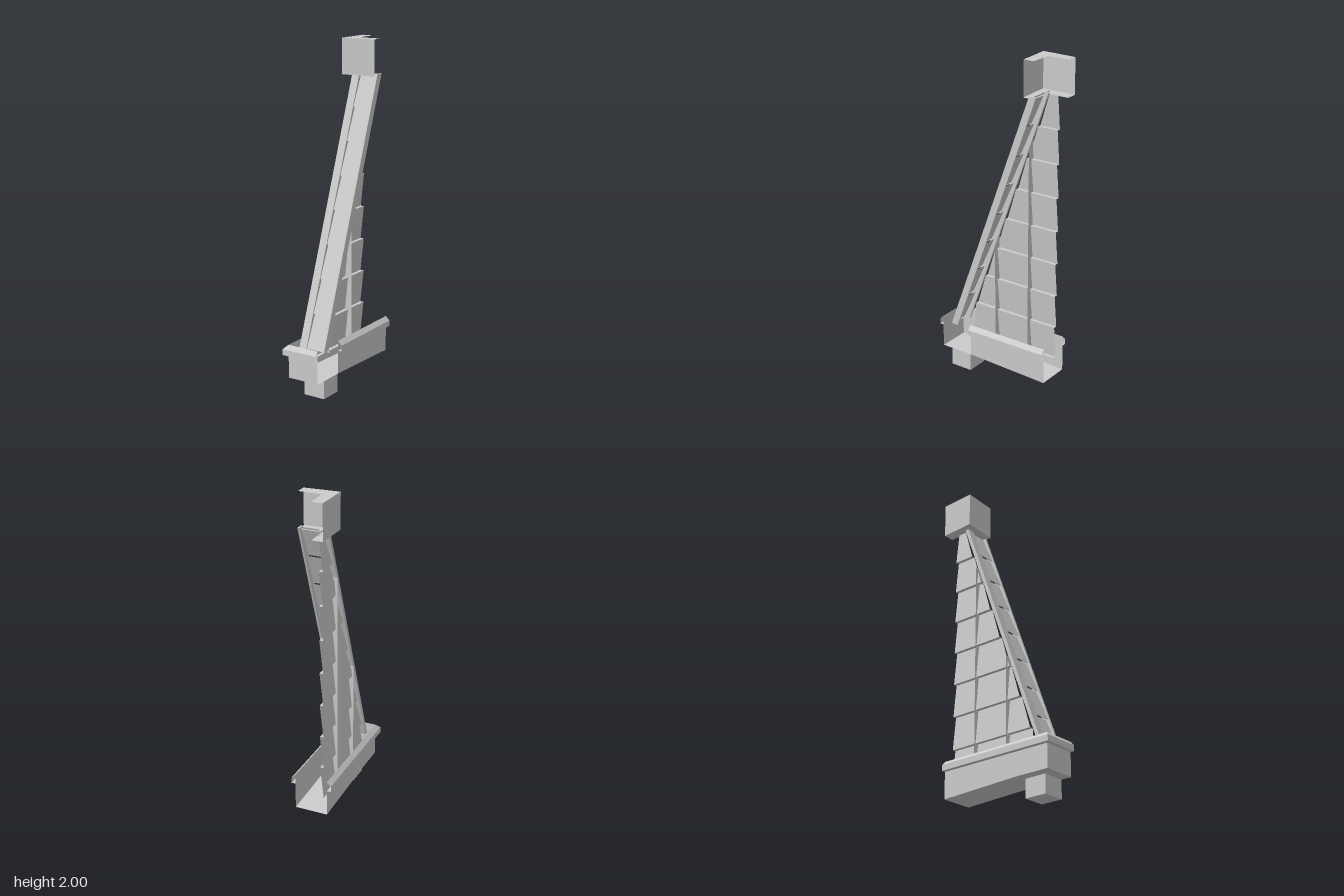
import * as THREE from 'three';

const material = new THREE.MeshStandardMaterial({ color: 0xcccccc, flatShading: true, side: THREE.DoubleSide });

// Thin sheet made of four-cornered faces
function sheet(name, quads) {
  const pos = [];
  for (const [a, b, c, d] of quads) pos.push(...a, ...b, ...c, ...a, ...c, ...d);
  const g = new THREE.BufferGeometry();
  g.setAttribute('position', new THREE.Float32BufferAttribute(pos, 3));
  g.computeVertexNormals();
  const m = new THREE.Mesh(g, material);
  m.name = name;
  return m;
}

// Vertical walls along a plan path of [x, z] points
const walls = (path, y0, y1) => path.slice(1).map(([x, z], i) => {
  const [px, pz] = path[i];
  return [[px, y0(pz), pz], [x, y0(z), z], [x, y1, z], [px, y1, pz]];
});

// Projecting lip swept between an inner and an outer plan path
function lip(name, inner, outer) {
  const profile = [[0, 0.25], [1, 0.25], [1, 0.285], [0, 0.31]];
  const at = (i, [t, y]) => [
    inner[i][0] + (outer[i][0] - inner[i][0]) * t, y,
    inner[i][1] + (outer[i][1] - inner[i][1]) * t];
  const quads = [];
  for (let i = 1; i < inner.length; i++)
    for (let k = 1; k < profile.length; k++)
      quads.push([at(i - 1, profile[k - 1]), at(i, profile[k - 1]), at(i, profile[k]), at(i - 1, profile[k])]);
  return sheet(name, quads);
}

// Depth of the sloping front at height y
const slope = (y) => 0.313 - 0.364 * (y - 0.28);

// Upright bar sheared to follow the slope, d0..d1 behind its face
function rail(name, x0, x1, d0, d1, y0, y1) {
  const g = new THREE.BoxGeometry(x1 - x0, y1 - y0, d1 - d0);
  g.translate((x0 + x1) / 2, (y0 + y1) / 2, -(d0 + d1) / 2);
  const p = g.attributes.position;
  for (let i = 0; i < p.count; i++) p.setZ(i, p.getZ(i) + slope(p.getY(i)));
  g.computeVertexNormals();
  const m = new THREE.Mesh(g, material);
  m.name = name;
  return m;
}

export function createModel() {
  const root = new THREE.Group();

  // Base trough, open at the rear and at one side of the front
  const floorY = (z) => (z > 0.17 ? 0.11 : 0.11 - 0.02 * (0.17 - z) / 0.53);
  const outer = [[-0.1, -0.36], [-0.1, 0.17], [-0.1, 0.378], [0.1, 0.378]];
  const inner = [[0.1, 0.17], [0.1, -0.36]];
  root.add(sheet('troughWalls', [...walls(outer, floorY, 0.31), ...walls(inner, floorY, 0.31)]));
  const floor = (z0, z1) => [[-0.1, floorY(z0), z0], [-0.1, floorY(z1), z1], [0.1, floorY(z1), z1], [0.1, floorY(z0), z0]];
  root.add(sheet('troughFloor', [floor(-0.36, 0.17), floor(0.17, 0.378)]));
  root.add(lip('outerLip', [outer[0], outer[2], outer[3]], [[-0.125, -0.36], [-0.125, 0.402], [0.1, 0.402]]));
  root.add(lip('innerLip', inner, [[0.125, 0.17], [0.125, -0.36]]));

  // Foot under the front
  const foot = new THREE.Mesh(new THREE.BoxGeometry(0.137, 0.11, 0.138), material);
  foot.name = 'foot';
  foot.position.set(0.0305, 0.055, 0.244);
  root.add(foot);

  // Sloping corner post and narrow edge rail
  root.add(rail('cornerPost', -0.07, -0.022, 0, 0.022, 0.28, 1.8));
  root.add(rail('postReturn', -0.036, -0.022, 0.022, 0.045, 0.28, 1.8));
  root.add(rail('edgeRail', 0.088, 0.1, 0, 0.045, 0.28, 1.8));

  // Lapped boards on the sloping front
  const front = [];
  for (let i = 0; i < 8; i++) {
    const y0 = 0.28 + i * 0.19, y1 = Math.min(y0 + 0.19, 1.8);
    const zo = slope(y0) - 0.006, zi = slope(y0) - 0.022, zt = slope(y1) - 0.022;
    front.push([[-0.022, y0, zo], [0.088, y0, zo], [0.088, y1, zt], [-0.022, y1, zt]]);
    front.push([[-0.022, y0, zo], [0.088, y0, zo], [0.088, y0 + 0.007, zi], [-0.022, y0 + 0.007, zi]]);
  }
  root.add(sheet('frontBoards', front));

  // Lapped boards on the side, cut along the slope
  const side = [], back = -0.333, step = 0.2014;
  for (let i = 0; i < 8; i++) {
    const y0 = 0.18 + i * step, y1 = y0 + step;
    const z0 = Math.min(slope(y0) - 0.04, 0.27), z1 = slope(y1) - 0.04;
    const xo = -0.068, xi = -0.046;
    side.push([[xo, y0, back], [xo, y0, z0], [xi, y1, z1], [xi, y1, back]]);
    side.push([[xo, y0, back], [xo, y0, z0], [xi, y0, z0], [xi, y0, back]]);
  }
  root.add(sheet('sideBoards', side));

  // Thin upright ribs through the side boards
  for (const z of [-0.16, 0.075]) {
    const top = 0.28 + (0.313 - 0.03 - z) / 0.364;
    root.add(sheet('rib', [[[-0.078, 0.18, z], [-0.022, 0.18, z], [-0.022, top, z], [-0.078, top, z]]]));
  }

  // Corner cap: two walls with L-shaped top and bottom flanges
  const none = () => 1.79;
  root.add(sheet('capWalls', walls([[0.1, -0.205], [-0.11, -0.19], [-0.102, -0.402]], none, 2)));
  for (const y of [1.79, 2]) {
    root.add(sheet('capFlange', [
      [[0.1, y, -0.205], [0.1, y, -0.27], [-0.036, y, -0.27], [-0.11, y, -0.19]],
      [[-0.11, y, -0.19], [-0.036, y, -0.27], [-0.036, y, -0.402], [-0.102, y, -0.402]],
    ]));
  }
  return root;
}
